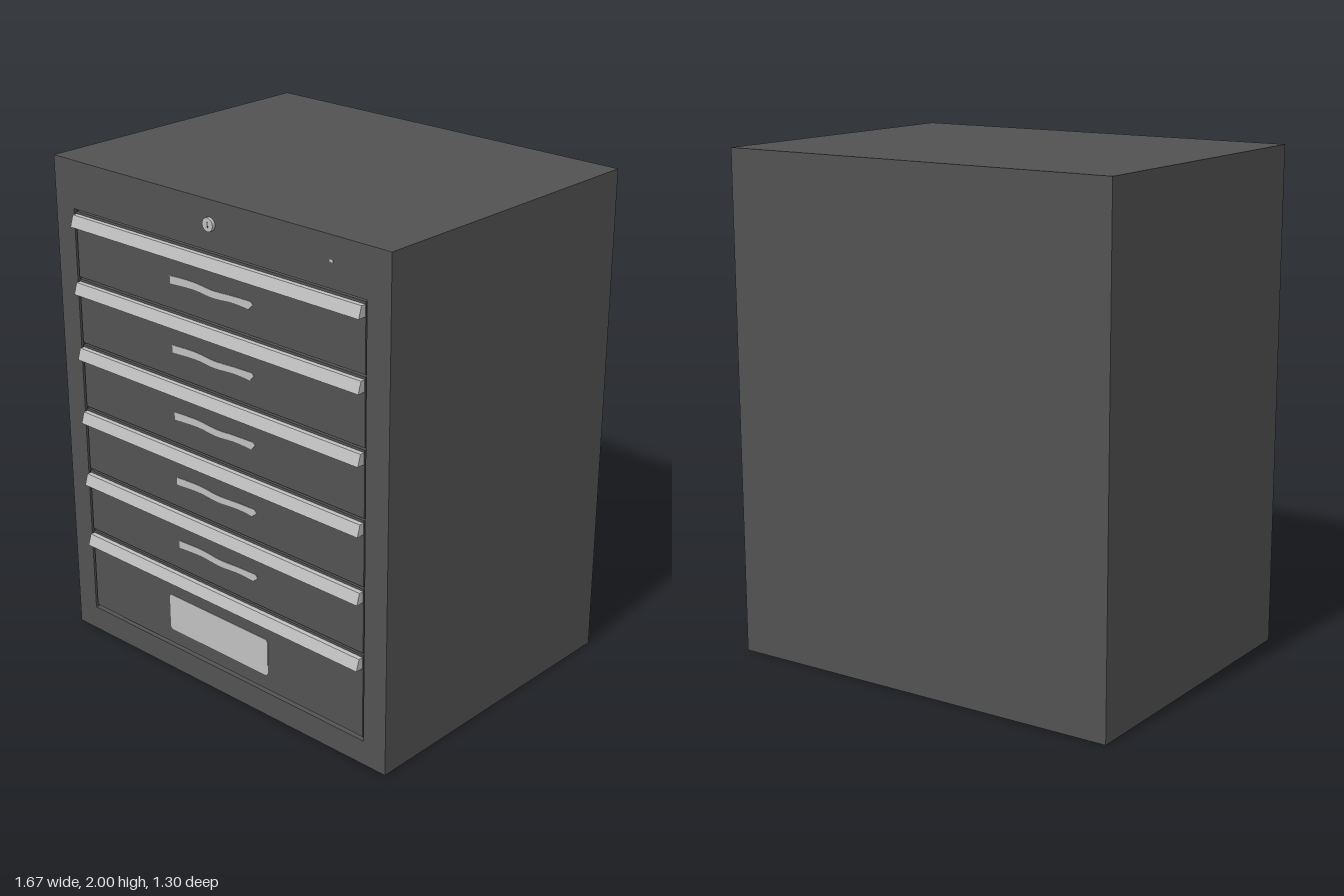
import * as THREE from 'three';
import { mergeGeometries } from 'three/addons/utils/BufferGeometryUtils.js';

const FRONT = 0.62;   // front plane of the cabinet
const PITCH = 0.269;  // vertical drawer spacing
const DRAWERS = 6;

// Box without its front face; inward turns the walls to face inside
function openBox(w, h, d, x, y, z, inward = false) {
  const g = new THREE.BoxGeometry(w, h, d);
  const index = Array.from(g.index.array);
  index.splice(24, 6);
  if (inward) {
    index.reverse();
    const n = g.attributes.normal;
    for (let i = 0; i < n.count; i++) n.setXYZ(i, -n.getX(i), -n.getY(i), -n.getZ(i));
  }
  g.setIndex(index);
  return g.translate(x, y, z);
}

function rectangle(ShapeType, x0, y0, x1, y1) {
  return new ShapeType([[x0, y0], [x1, y0], [x1, y1], [x0, y1]].map(p => new THREE.Vector2(...p)));
}

function roundedRect(x0, y0, x1, y1, r) {
  const s = new THREE.Shape();
  s.absarc(x1 - r, y1 - r, r, 0, Math.PI / 2);
  s.absarc(x0 + r, y1 - r, r, Math.PI / 2, Math.PI);
  s.absarc(x0 + r, y0 + r, r, Math.PI, Math.PI * 1.5);
  s.absarc(x1 - r, y0 + r, r, Math.PI * 1.5, Math.PI * 2);
  return s;
}

export function createModel() {
  const model = new THREE.Group();
  model.name = 'drawerCabinet';
  const steel = new THREE.MeshStandardMaterial({ color: 0x525252 });
  steel.name = 'darkGreySteel';
  const silver = new THREE.MeshStandardMaterial({ color: 0xc0c0c0 });
  silver.name = 'silver';

  const add = (name, geometry, material, x = 0, y = 0, z = 0) => {
    const mesh = new THREE.Mesh(geometry, material);
    mesh.name = name;
    mesh.position.set(x, y, z);
    model.add(mesh);
    return mesh;
  };
  const plate = (shape, depth) =>
    new THREE.ExtrudeGeometry(shape, { depth, bevelEnabled: false, curveSegments: 8 });

  // Cabinet shell: outer walls, front frame and the shallow drawer recess
  const frame = rectangle(THREE.Shape, -0.835, 0, 0.835, 2);
  frame.holes.push(rectangle(THREE.Path, -0.735, 0.1, 0.73, 1.81));
  add('cabinetBody', mergeGeometries([
    openBox(1.67, 2, 1.27, 0, 1, -0.015),
    new THREE.ShapeGeometry(frame).translate(0, 0, FRONT),
    openBox(1.465, 1.71, 0.02, -0.0025, 0.955, FRONT - 0.01, true),
  ]), steel);

  // Handle rail: sloped front, wider at the bottom, swept along x
  const profile = new THREE.Shape([
    [-0.608, 0], [-0.608, 0.045], [-0.636, 0.045], [-0.65, 0],
  ].map(p => new THREE.Vector2(...p)));
  const rail = plate(profile, 1.445).rotateY(Math.PI / 2).translate(-0.725, 0, 0);

  // Thin decorative strip with a gently uneven outline
  const strip = new THREE.Shape();
  strip.moveTo(-0.22, -0.016);
  strip.splineThru([[-0.1, -0.01], [0, -0.017], [0.1, -0.011], [0.18, -0.015]].map(p => new THREE.Vector2(...p)));
  strip.lineTo(0.2, 0.006);
  strip.lineTo(0.19, 0.016);
  strip.splineThru([[0.1, 0.014], [0, 0.01], [-0.1, 0.018], [-0.22, 0.014]].map(p => new THREE.Vector2(...p)));
  const stripGeometry = plate(strip, 0.003);

  // Drawers with their rails and strips
  for (let i = 0; i < DRAWERS; i++) {
    const top = 1.802 - i * PITCH;
    const bottom = i === DRAWERS - 1 ? 0.114 : top - 0.261;
    add('drawerFront' + (i + 1), new THREE.BoxGeometry(1.45, top - bottom, 0.017), steel,
      -0.0025, (top + bottom) / 2, 0.6085);
    add('drawerHandle' + (i + 1), rail, silver, 0, 1.747 - i * PITCH, 0);
    if (i < DRAWERS - 1) add('drawerStrip' + (i + 1), stripGeometry, silver, 0, 1.653 - i * 0.27, 0.616);
  }

  // Blank plate on the bottom drawer
  add('bottomPlate', plate(roundedRect(-0.285, 0.175, 0.247, 0.33, 0.014), 0.003), silver, 0, 0, 0.616);

  // Lock cylinder with a dark key slot, and a small indicator
  const lock = new THREE.CylinderGeometry(0.026, 0.026, 0.014, 20).rotateX(Math.PI / 2);
  add('lock', lock, silver, -0.003, 1.91, 0.626);
  add('keySlot', new THREE.BoxGeometry(0.006, 0.02, 0.002), steel, -0.003, 1.91, 0.633);
  add('indicator', new THREE.BoxGeometry(0.016, 0.01, 0.004), silver, 0.573, 1.909, FRONT);

  return model;
}
